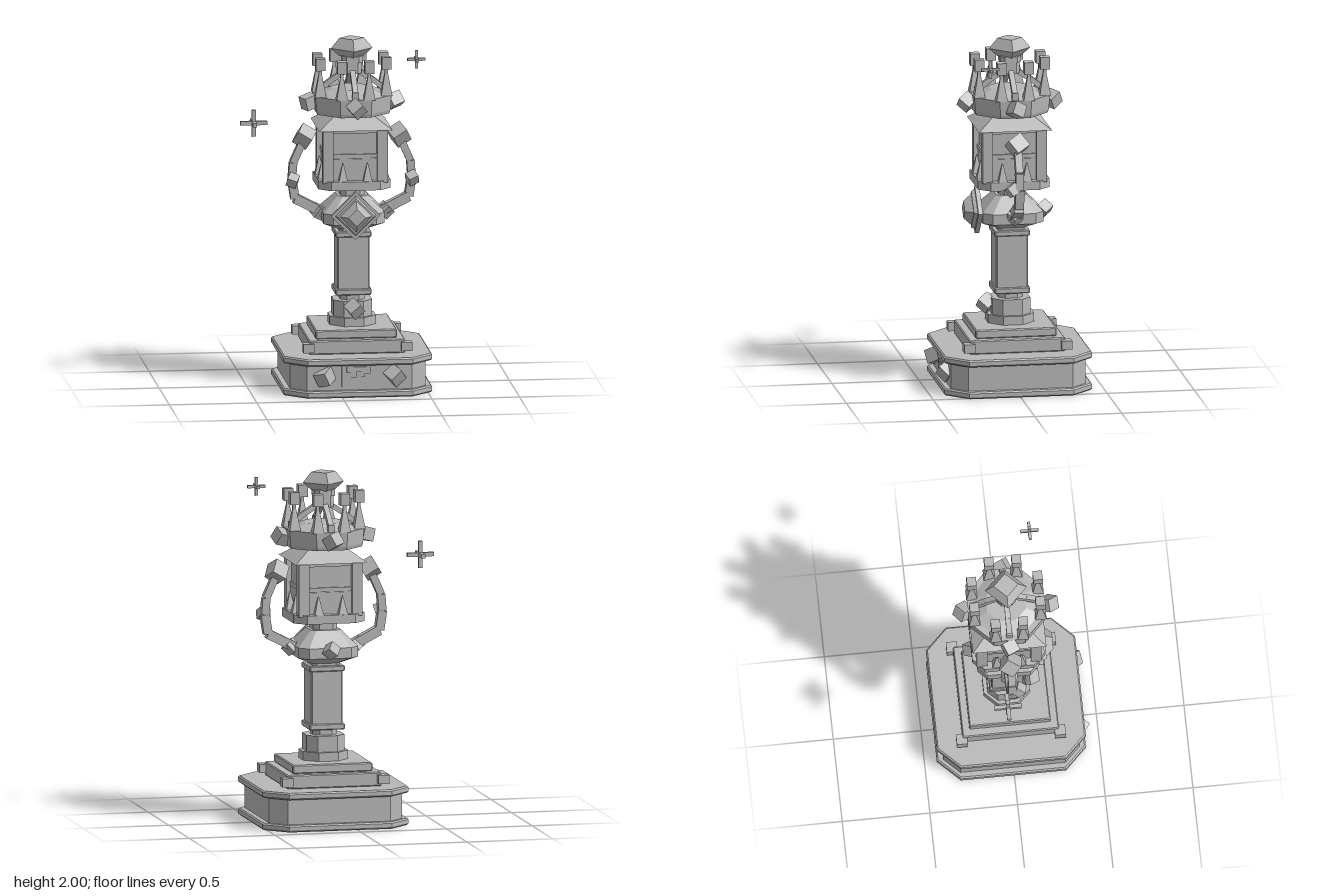
import * as THREE from 'three';

const stone = new THREE.MeshStandardMaterial({ color: 0xb8b8b8 });
stone.name = 'grey stone';

export function createModel() {
  const root = new THREE.Group();
  root.name = 'ornateTower';
  const tower = new THREE.Group();
  tower.name = 'tower';
  tower.position.set(0.1, 0, -0.005);
  root.add(tower);

  const add = (name, geometry, x = 0, y = 0, z = 0, parent = tower) => {
    const mesh = new THREE.Mesh(geometry, stone);
    mesh.name = name;
    mesh.position.set(x, y, z);
    parent.add(mesh);
    return mesh;
  };
  const box = (name, w, h, d, x, y, z, parent) => add(name, new THREE.BoxGeometry(w, h, d), x, y, z, parent);

  // Square with cut corners, extruded upwards; top may taper, edges may be bevelled
  const prism = (name, half, flat, y0, y1, { topScale = 1, bevel = 0 } = {}) => {
    const h = half, f = flat;
    const shape = new THREE.Shape([[h, -f], [h, f], [f, h], [-f, h], [-h, f], [-h, -f], [-f, -h], [f, -h]]
      .map(([x, y]) => new THREE.Vector2(x, y)));
    const height = y1 - y0;
    const g = new THREE.ExtrudeGeometry(shape, {
      depth: height - 2 * bevel, bevelEnabled: bevel > 0, bevelThickness: bevel,
      bevelSize: bevel, bevelOffset: -bevel, bevelSegments: 1,
    });
    g.translate(0, 0, bevel).rotateX(-Math.PI / 2);
    const p = g.attributes.position;
    for (let i = 0; i < p.count; i++) {
      const s = 1 + (topScale - 1) * p.getY(i) / height;
      p.setX(i, p.getX(i) * s);
      p.setZ(i, p.getZ(i) * s);
    }
    g.computeVertexNormals();
    return add(name, g, 0, y0, 0);
  };

  // Four-sided or other faceted frustum with flat faces
  const facet = (rTop, rBottom, h, sides, turn = 0) => {
    const g = new THREE.CylinderGeometry(rTop, rBottom, h, sides).rotateY(turn).toNonIndexed();
    g.computeVertexNormals();
    return g;
  };
  const gem = (name, size, x, y, z, rx = 0.6, ry = 0.5, rz = 0.5) => {
    const m = box(name, size, size, size, x, y, z);
    m.rotation.set(rx, ry, rz);
    return m;
  };
  // Square bar between two points
  const bar = (name, a, b, w, d) => {
    const dir = b.clone().sub(a);
    const m = box(name, w, dir.length(), d, 0, 0, 0);
    m.position.copy(a).add(b).multiplyScalar(0.5);
    m.quaternion.setFromUnitVectors(new THREE.Vector3(0, 1, 0), dir.normalize());
    return m;
  };

  // Plinth and steps
  prism('plinthFoot', 0.425, 0.3, 0, 0.04, { bevel: 0.008 });
  prism('plinthBody', 0.388, 0.3, 0.04, 0.19);
  prism('plinthTop', 0.425, 0.3, 0.185, 0.225, { bevel: 0.008 });
  prism('lowerStep', 0.275, 0.268, 0.225, 0.305, { bevel: 0.006 });
  prism('upperStep', 0.232, 0.225, 0.305, 0.355, { bevel: 0.006 });
  for (const x of [-0.28, 0.28]) {
    for (const z of [-0.28, 0.28]) box('cornerBlock', 0.062, 0.05, 0.062, x, 0.267, z);
    gem('plinthGem', 0.08, x / 1.4, 0.12, 0.395, 0.5, x * 2, 0.5);
  }

  // Plaque with a notched relief
  box('plaque', 0.205, 0.12, 0.009, 0, 0.12, 0.391);
  const drip = new THREE.Shape([[-0.075, 0.175], [-0.075, 0.145], [-0.05, 0.145], [-0.05, 0.115], [-0.02, 0.115],
    [-0.02, 0.145], [0.01, 0.145], [0.01, 0.115], [0.03, 0.115], [0.03, 0.135], [0.06, 0.135], [0.06, 0.175]]
    .map(([x, y]) => new THREE.Vector2(x, y)));
  add('plaqueRelief', new THREE.ExtrudeGeometry(drip, { depth: 0.009, bevelEnabled: false }), 0, 0, 0.395);

  // Column
  prism('columnFoot', 0.132, 0.056, 0.355, 0.405);
  prism('columnDrum', 0.11, 0.056, 0.405, 0.497);
  gem('columnGem', 0.075, 0, 0.46, 0.135);
  prism('columnNeck', 0.07, 0.035, 0.497, 0.53);
  prism('lowerCollar', 0.103, 0.096, 0.53, 0.565, { bevel: 0.005 });
  prism('shaft', 0.092, 0.085, 0.56, 0.87);
  prism('upperCollar', 0.103, 0.096, 0.865, 0.897, { bevel: 0.005 });
  prism('shaftNeck', 0.08, 0.06, 0.895, 0.92);

  // Bowl below the chamber, with side and back gems
  prism('bowlBottom', 0.085, 0.06, 0.91, 0.95, { topScale: 2.05 });
  prism('bowlRim', 0.174, 0.123, 0.95, 1.01);
  prism('bowlTop', 0.174, 0.123, 1.01, 1.1, { topScale: 0.5 });
  prism('bowlNeck', 0.07, 0.04, 1.08, 1.16);
  for (const s of [-1, 1]) gem('bowlGem', 0.065, s * 0.19, 1.0, 0, 0.5, 0.4, 0.7 * s);
  gem('bowlGem', 0.065, 0, 1.0, -0.2);

  // Diamond badge on the front
  const badge = new THREE.Group();
  badge.name = 'badge';
  badge.position.set(0, 1.008, 0.175);
  badge.rotation.x = Math.PI / 2;
  tower.add(badge);
  add('badgePlate', facet(0.14, 0.14, 0.026, 4), 0, 0.013, 0, badge);
  add('badgeFrame', facet(0.105, 0.118, 0.022, 4), 0, 0.035, 0, badge);
  add('badgeStone', facet(0.05, 0.092, 0.045, 4), 0, 0.068, 0, badge);

  // Chamber: floor, walls, corner posts, ring of spikes
  prism('chamberFloor', 0.206, 0.14, 1.155, 1.205);
  box('chamberWall', 0.31, 0.31, 0.31, 0, 1.355, 0);
  box('lowerPanelBand', 0.322, 0.13, 0.322, 0, 1.265, 0);
  box('middleRail', 0.33, 0.025, 0.33, 0, 1.345, 0);
  box('upperLintel', 0.33, 0.025, 0.33, 0, 1.49, 0);
  for (const x of [-0.155, 0.155]) {
    for (const z of [-0.155, 0.155]) box('cornerPost', 0.06, 0.31, 0.06, x, 1.35, z);
  }
  for (let i = 0; i < 4; i++) {
    const side = new THREE.Group();
    side.name = 'spikeRow';
    side.rotation.y = i * Math.PI / 2;
    tower.add(side);
    for (const x of [-0.07, 0.07]) add('spike', facet(0.003, 0.038, 0.11, 4, Math.PI / 4), x, 1.255, 0.177, side);
  }
  add('roof', facet(0.15, 0.297, 0.075, 4, Math.PI / 4), 0, 1.537, 0);

  // Crown: band, dome, gems, spires and arches
  prism('crownLowerBand', 0.205, 0.085, 1.575, 1.595, { topScale: 1.03 });
  prism('crownBand', 0.211, 0.088, 1.595, 1.68, { topScale: 1.03 });
  prism('crownDome', 0.185, 0.077, 1.68, 1.715, { topScale: 0.6 });
  for (let i = 0; i < 4; i++) {
    const a = i * Math.PI / 2, s = Math.sin(a), c = Math.cos(a);
    gem('crownGem', 0.075, s * 0.245, 1.635, c * 0.245, 0.6, 0.5 + a, 0.5);
    const at = (r, y) => new THREE.Vector3(s * r, y, c * r);
    box('archFoot', 0.035, 0.05, 0.035, s * 0.185, 1.695, c * 0.185);
    bar('crownArch', at(0.185, 1.705), at(0.11, 1.765), 0.03, 0.03);
    bar('crownArch', at(0.115, 1.76), at(0.03, 1.815), 0.03, 0.03);
  }
  for (let i = 0; i < 8; i++) {
    const a = (i + 0.5) * Math.PI / 4, x = Math.sin(a) * 0.204, z = Math.cos(a) * 0.204;
    add('crownSpire', facet(0.012, 0.046, 0.13, 4, Math.PI / 4), x, 1.743, z);
    box('spireStem', 0.018, 0.04, 0.018, x, 1.815, z);
    box('spireBlock', 0.054, 0.07, 0.054, x, 1.865, z);
  }

  // Finial
  prism('finialNeck', 0.052, 0.03, 1.8, 1.87);
  prism('finialCollar', 0.06, 0.035, 1.865, 1.9);
  add('finialLower', facet(0.119, 0.07, 0.045, 4), 0, 1.9175, 0);
  add('finialUpper', facet(0.07, 0.119, 0.06, 4), 0, 1.97, 0);

  // Mirrored side arms with elbow and end blocks
  for (const s of [-1, 1]) {
    const pts = [[0.16, 0.995], [0.325, 1.08], [0.342, 1.19], [0.335, 1.285], [0.275, 1.42]]
      .map(([x, y]) => new THREE.Vector3(s * x, y, 0));
    const widths = [0.055, 0.05, 0.045, 0.042];
    widths.forEach((w, i) => bar('armSegment', pts[i], pts[i + 1], w, w));
    gem('elbowGem', 0.058, s * 0.34, 1.19, 0.04, 0.6, 0.4 * s, 0.15 * s);
    gem('armEndBlock', 0.09, s * 0.27, 1.435, 0, 0.5, 0.4 * s, 0.4 * s);
  }

  // Floating three-way sparkles
  const sparkle = (x, y, z, length, t) => {
    const g = new THREE.Group();
    g.name = 'sparkle';
    g.position.set(x, y, z);
    root.add(g);
    box('sparkleX', length, t, t, 0, 0, 0, g);
    box('sparkleY', t, length, t, 0, 0, 0, g);
    box('sparkleZ', t, t, length, 0, 0, 0, g);
  };
  sparkle(-0.455, 1.51, -0.05, 0.154, 0.023);
  sparkle(0.45, 1.9, 0.165, 0.104, 0.016);

  return root;
}
